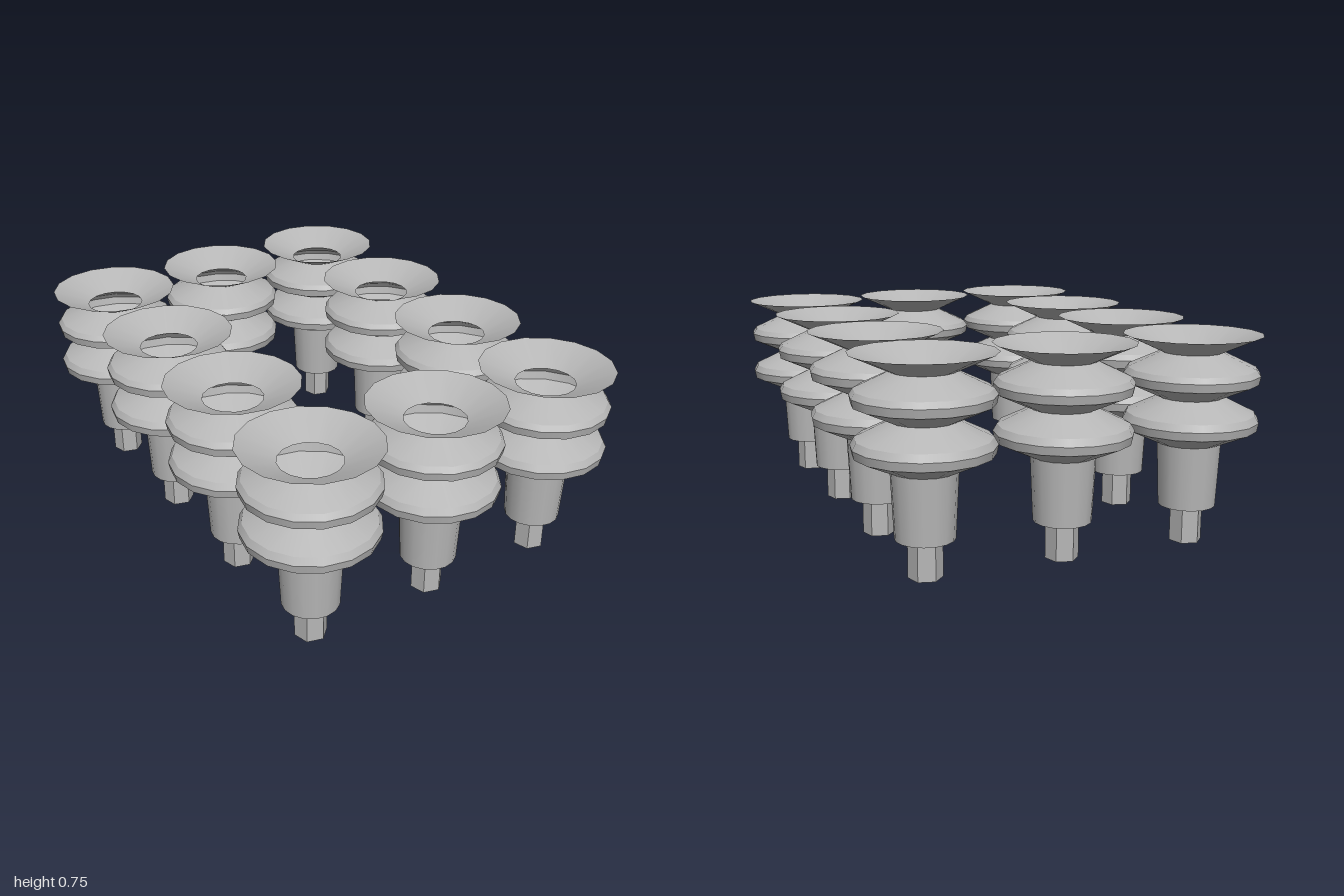
import * as THREE from 'three';

export function createModel() {
  const rubber = new THREE.MeshStandardMaterial({ color: 0xb6b6b6, side: THREE.DoubleSide });
  rubber.name = 'grey rubber';
  const model = new THREE.Group();
  model.name = 'suctionCupArray';
  const SIDES = 16;

  // Frustum band between two [radius, y] rings: smooth around, creased at the rings
  const band = ([r0, y0], [r1, y1], sides = SIDES, open = true) =>
    new THREE.CylinderGeometry(r1, r0, y1 - y0, sides, 1, open).translate(0, (y0 + y1) / 2, 0);

  // Bellows wall from the top of the body up to the sealing lip
  const bellows = [
    [0.113, 0.365], [0.234, 0.42], [0.24, 0.45], [0.226, 0.475],
    [0.113, 0.53], [0.234, 0.585], [0.24, 0.615], [0.226, 0.635],
    [0.109, 0.69], [0.245, 0.752],
  ];
  const bandNames = [
    'lowerFlare', 'lowerRim', 'lowerRimTop', 'lowerFold', 'upperFlare',
    'upperRim', 'upperRimTop', 'upperFold', 'sealingLip',
  ];

  const parts = bandNames.map((name, i) => [name, band(bellows[i], bellows[i + 1])]);
  // Solid tapered body, whose top closes the bellows, and faceted stem
  parts.push(['body', band([0.102, 0.135], [0.113, 0.365], SIDES, false)]);
  const stem = band([0.059, 0], [0.059, 0.135], 6, false).rotateY(0.26).toNonIndexed();
  stem.computeVertexNormals();
  parts.push(['stem', stem]);

  const addCup = (x, z) => {
    const cup = new THREE.Group();
    cup.name = 'suctionCup';
    for (const [name, geometry] of parts) {
      const mesh = new THREE.Mesh(geometry, rubber);
      mesh.name = name;
      cup.add(mesh);
    }
    cup.position.set(x, 0, z);
    model.add(cup);
  };

  // Ring of ten cups: two full sides plus one in the middle of each end
  for (const z of [-0.755, -0.252, 0.252, 0.755]) {
    for (const x of [-0.5, 0, 0.5]) {
      if (x !== 0 || Math.abs(z) > 0.5) addCup(x, z);
    }
  }
  return model;
}
